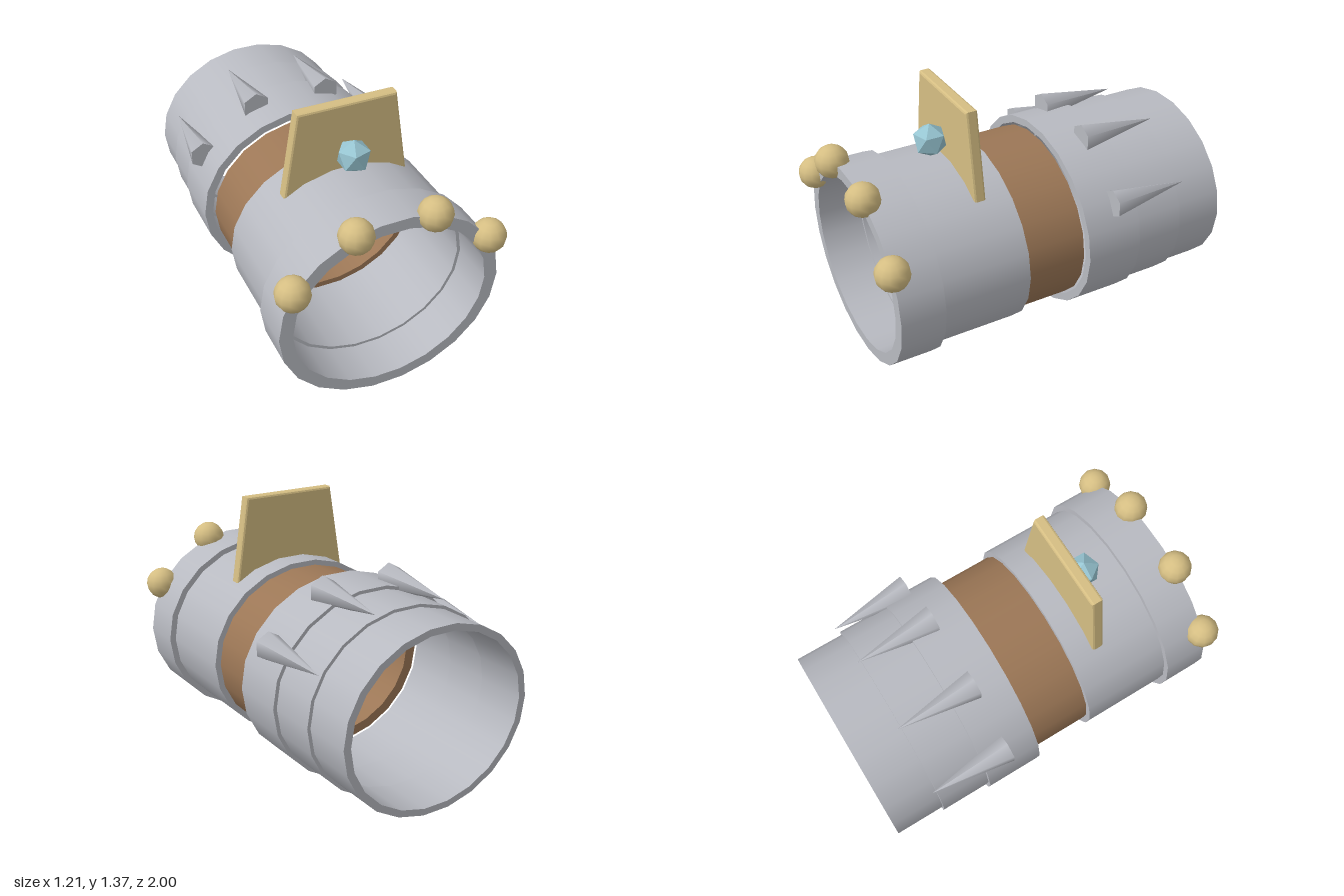
import * as THREE from 'three';
import { mergeGeometries } from 'three/addons/utils/BufferGeometryUtils.js';

const material = (name, color) => {
  const m = new THREE.MeshStandardMaterial({ color });
  m.name = name;
  return m;
};

const CENTRE_Y = 0.517;
const SQUASH = 0.882; // the bands are slightly flattened in height
const SIDES = 22;

// Hollow oval band along z, smooth around and sharp at the rims
function bandGeometry(outer, inner, back, front) {
  const profile = [[outer, back], [outer, front], [inner, front], [inner, back], [outer, back]]
    .map(([r, z]) => new THREE.Vector2(r, z));
  const strips = [];
  for (let i = 0; i < 4; i++) {
    strips.push(new THREE.LatheGeometry([profile[i], profile[i + 1]], SIDES, Math.PI / 2));
  }
  const g = mergeGeometries(strips);
  g.rotateX(Math.PI / 2);
  g.scale(1, SQUASH, 1);
  g.translate(0, CENTRE_Y, 0);
  g.computeBoundingSphere();
  return g;
}

export function createModel() {
  const steel = material('steel grey', 0xb8bac1);
  const leather = material('leather brown', 0x9c7756);
  const gold = material('pale gold', 0xd5be83);
  const crystal = material('crystal blue', 0x97c5d2);

  const group = new THREE.Group();
  group.name = 'armBand';
  const add = (name, geometry, mat, x = 0, y = 0, z = 0) => {
    const mesh = new THREE.Mesh(geometry, mat);
    mesh.name = name;
    mesh.position.set(x, y, z);
    group.add(mesh);
    return mesh;
  };

  // Stacked bands: name, outer radius, inner radius, back z, front z, material
  const bands = [
    ['frontCuff', 0.592, 0.521, 0.675, 0.91, steel],
    ['frontSleeve', 0.558, 0.503, 0.19, 0.675, steel],
    ['leatherSleeve', 0.526, 0.467, -0.147, 0.19, leather],
    ['rearPlateLarge', 0.585, 0.54, -0.457, -0.147, steel],
    ['rearPlateMiddle', 0.565, 0.525, -0.73, -0.457, steel],
    ['rearPlateSmall', 0.547, 0.507, -1, -0.73, steel],
  ];
  for (const [name, outer, inner, back, front, mat] of bands) {
    add(name, bandGeometry(outer, inner, back, front), mat);
  }

  // Knuckle studs on the front rim and matching spikes swept to the back
  const stud = new THREE.SphereGeometry(0.088, 12, 8);
  const spike = new THREE.ConeGeometry(0.077, 0.445, 6);
  spike.rotateX(-Math.PI / 2);
  for (const side of [-1, 1]) {
    for (const [x, y] of [[0.204, 1.015], [0.518, 0.785]]) {
      add('stud', stud, gold, side * x, y, 0.907);
      add('spike', spike, steel, side * x, y, -0.5325);
    }
  }

  // Upright shield plate with a pointed foot
  const shield = new THREE.Shape(
    [[0, 0.662], [0.34, 0.89], [0.265, 1.367], [-0.265, 1.367], [-0.34, 0.89]]
      .map(([x, y]) => new THREE.Vector2(x, y)),
  );
  const plate = new THREE.ExtrudeGeometry(shield, {
    depth: 0.04, bevelThickness: 0.012, bevelSize: 0.012, bevelOffset: -0.012, bevelSegments: 2,
  });
  add('shieldPlate', plate, gold, 0, 0, 0.332);

  // Faceted gem balanced on one point
  const gem = new THREE.IcosahedronGeometry(0.091, 0);
  gem.rotateZ(0.5536);
  add('gem', gem, crystal, 0, 1.115, 0.458);

  return group;
}
